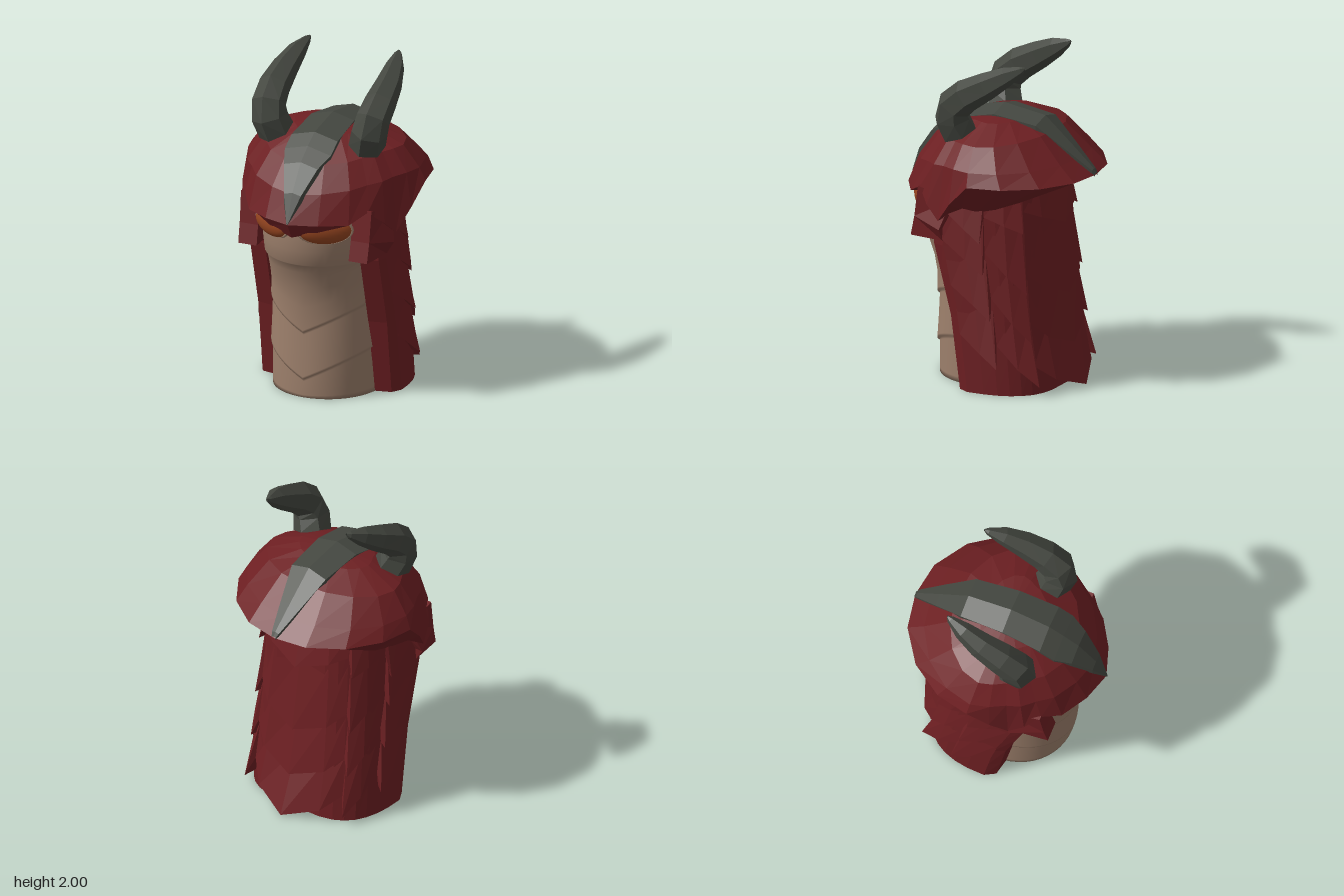
import * as THREE from 'three';

const D = THREE.DoubleSide;
const red = new THREE.MeshStandardMaterial({ name: 'red armour', color: 0x6d1f22, flatShading: true, side: D });
const grey = new THREE.MeshStandardMaterial({ name: 'dark horn', color: 0x444740, flatShading: true, side: D });
const tan = new THREE.MeshStandardMaterial({ name: 'tan skin', color: 0x9c7f6b, side: D });
const orange = new THREE.MeshStandardMaterial({ name: 'orange eye', color: 0x964520 });

const lerp = THREE.MathUtils.lerp;
const mirrorX = (half) => half.concat(half.slice(1, -1).reverse().map(([x, y, z]) => [-x, y, z]), [half[0]]);

// Skin over rows of points, lowest row first, running front > +x > back > -x
function loft(rows) {
  const n = rows[0].length, index = [];
  for (let i = 0; i < rows.length - 1; i++)
    for (let j = 0; j < n - 1; j++) {
      const a = i * n + j, c = a + n;
      index.push(a, a + 1, c + 1, a, c + 1, c);
    }
  const g = new THREE.BufferGeometry();
  g.setAttribute('position', new THREE.Float32BufferAttribute(rows.flat(2), 3));
  g.setIndex(index);
  g.computeVertexNormals();
  return g;
}

function add(parent, name, geometry, material) {
  const m = new THREE.Mesh(geometry, material);
  m.name = name;
  parent.add(m);
  return m;
}

// Tan body with closed base: [y, front z, half width, back z, chevron amount]
function bodyGeometry() {
  const rows = [
    [0, .008, 0, .008, 0], [0, .385, .33, -.37, 0], [.015, .386, .33, -.37, .1],
    [.1, .385, .33, -.37, 1], [.114, .384, .33, -.37, 1], [.117, .4, .337, -.37, 1], [.13, .4, .337, -.37, 1],
    [.25, .392, .333, -.37, 1], [.39, .385, .33, -.37, 1], [.404, .384, .33, -.37, 1], [.407, .4, .337, -.37, 1],
    [.42, .4, .337, -.37, 1], [.56, .4, .333, -.36, .6], [.7, .42, .33, -.35, .1], [.8, .455, .33, -.34, 0],
    [.85, .475, .333, -.34, 0], [.862, .495, .34, -.34, 0], [.95, .508, .345, -.33, 0],
    [1.05, .515, .35, -.32, 0], [1.15, .5, .35, -.32, 0], [1.26, .42, .32, -.28, 0],
  ];
  return loft(rows.map(([y, zf, hx, zb, k]) => {
    const ring = [];
    for (let i = 0; i <= 48; i++) {
      const t = -Math.PI + (i / 48) * 2 * Math.PI, c = Math.cos(t);
      const x = hx * Math.sin(t), zc = (zf + zb) / 2;
      ring.push([x, y + k * .52 * Math.abs(x), zc + (zf - zb) / 2 * Math.sign(c) * Math.abs(c) ** .88]);
    }
    return ring;
  }));
}

// Cape surface: s = 0 at the side, 1 at the middle of the back
const capeFront = (y) => (y < .45 ? lerp(.1, .16, y / .45) : lerp(.16, .27, Math.min(1, (y - .45) / .42)));

function capePoint(y, s) {
  const zb = lerp(-.42, -.34, y / 1.2), a = s * Math.PI / 2, z0 = capeFront(y) - .09;
  const c = Math.max(0, Math.cos(a));
  return [lerp(.455, .43, y / 1.2) * c ** .55, y, z0 - (z0 - zb) * Math.sin(a) ** .85];
}

function capeGeometry() {
  return loft([0, .2, .45, .7, .87, 1.28].map((y) => {
    const half = [[.31, y, capeFront(y)], [.42, y, capeFront(y) - .025]];
    for (let i = 0; i <= 8; i++) half.push(capePoint(y, i / 8));
    return half.concat(half.slice(0, -1).reverse().map(([x, yy, z]) => [-x, yy, z]));
  }));
}

// One tier of overlapping plates; each plate slopes down to a flared tip
function tierGeometry(ySide, yBack, height, flare) {
  // [position s, share of back height, rise above the tip, flare]
  const edge = [[0, 0, .18, .2], [.13, 0, .08, .6], [.25, 0, 0, 1], [.28, .1, .15, .15], [.45, .5, .08, .5],
    [.62, .75, .02, .9], [.65, .8, .14, .15], [.84, 1, .08, .55], [1, 1, 0, 1]];
  const low = [], top = [], tuck = [];
  const place = (sign, [s, mix, rise, k]) => {
    const tip = lerp(ySide, yBack, mix), y = tip + rise;
    const [x, , z] = capePoint(y, s);
    low.push([sign * x * (1 + .1 * k), y, z - flare * k * s]);
    tuck.push([sign * x * .97, y + .025, z + .02 * s]);
    const [tx, ty, tz] = capePoint(Math.min(1.25, tip + height), s);
    top.push([sign * tx * .99, ty, tz]);
  };
  edge.forEach((e) => place(1, e));
  edge.slice(0, -1).reverse().forEach((e) => place(-1, e));
  return loft([tuck, low, top]);
}

// Helmet: inner lip, rim, then shrinking dome rings
function helmetGeometry() {
  const inner = [[0, 1.045, .545], [.16, 1.092, .515], [.315, 1.138, .43], [.38, 1.18, .3], [.4, 1.12, .22],
    [.43, 1.06, .15], [.43, 1.11, .06], [.42, 1.1, -.03], [.4, 1.13, -.15], [.33, 1.17, -.27], [.18, 1.2, -.33],
    [0, 1.25, -.325]];
  const rim = [[0, 1.14, .6], [.17, 1.14, .545], [.325, 1.14, .45], [.4, 1.2, .35], [.47, 1.12, .27], [.5, 1.04, .18],
    [.55, 1.17, .08], [.58, 1.3, -.05], [.535, 1.3, -.25], [.405, 1.3, -.44], [.21, 1.3, -.57], [0, 1.3, -.605]];
  // [x scale, front z, back z, side y, front y, back y]
  const rings = [[.94, .53, .5, 1.38, 1.3, 1.39], [.77, .42, .34, 1.51, 1.45, 1.54],
    [.42, .24, .17, 1.595, 1.57, 1.6], [0, 0, 0, 1.63, 1.63, 1.63]];
  const dome = rings.map(([s, zf, zb, ys, yf, yb]) => rim.map(([x, , z]) => {
    const c = z / .605;
    return [x * s, lerp(ys, c > 0 ? yf : yb, c * c), c * (c > 0 ? zf : zb)];
  }));
  return loft([inner, rim, ...dome].map(mirrorX));
}

// Crest band over the helmet: [z, ridge y, half width]
function crestGeometry() {
  const path = [[.607, 1.145, .003], [.535, 1.32, .055], [.425, 1.475, .11], [.33, 1.545, .15], [.24, 1.605, .15],
    [0, 1.655, .14], [-.27, 1.615, .125], [-.45, 1.46, .07], [-.59, 1.335, .025], [-.605, 1.31, .015]];
  return loft(path.map(([z, y, w]) => {
    const edge = y - .25 * w, skirt = edge - Math.min(.05, w);
    return [[-w, skirt, z], [-w, edge, z], [0, y, z], [w, edge, z], [w, skirt, z]];
  }));
}

// Curved tapering horn: [x, y, z, radius]
function hornGeometry() {
  const path = [[.295, 1.535, .145, .115], [.325, 1.625, .175, .112], [.34, 1.71, .155, .105], [.345, 1.785, .07, .098],
    [.338, 1.86, -.06, .082], [.318, 1.93, -.18, .058], [.296, 1.975, -.265, .024], [.29, 1.988, -.285, .006]];
  const p = path.map((q) => new THREE.Vector3(q[0], q[1], q[2]));
  return loft(p.map((c, i) => {
    const t = p[Math.min(i + 1, p.length - 1)].clone().sub(p[Math.max(i - 1, 0)]).normalize();
    const v = new THREE.Vector3(1, 0, 0).cross(t).normalize(), u = t.clone().cross(v);
    const ring = [];
    for (let k = 0; k <= 6; k++) {
      const a = (k / 6) * Math.PI * 2;
      ring.push(c.clone().addScaledVector(u, path[i][3] * .95 * Math.sin(a))
        .addScaledVector(v, path[i][3] * Math.cos(a)).toArray());
    }
    return ring;
  }));
}

// Cheek guard: side outline (z, y), given thickness, bent inward at the front, with a flared rear spike
function cheekGeometry() {
  const outline = [[.35, 1.21], [.12, 1.16], [.14, 1.06], [.18, .98], [.18, .9], [.4, .9], [.375, 1.02]];
  const g = new THREE.ExtrudeGeometry(new THREE.Shape(outline.map(([z, y]) => new THREE.Vector2(-z, y))),
    { depth: .12, bevelEnabled: false });
  g.rotateY(Math.PI / 2);
  const pos = g.attributes.position;
  for (let i = 0; i < pos.count; i++) {
    const z = pos.getZ(i), y = pos.getY(i);
    const bend = Math.max(0, z - .2) * .1, spike = y > .95 && y < 1 ? .05 : 0;
    pos.setX(i, pos.getX(i) + .32 - bend + spike);
  }
  g.computeVertexNormals();
  return g;
}

export function createModel() {
  const model = new THREE.Group();
  model.name = 'hornedSerpent';

  add(model, 'body', bodyGeometry(), tan);
  add(model, 'cape', capeGeometry(), red);
  [[.92, .98, .28, .05], [.73, .55, .46, .045], [.46, .25, .4, .06], [.17, 0, .38, .12]]
    .forEach((t, i) => add(model, 'scaleTier' + (i + 1), tierGeometry(...t), red));

  add(model, 'helmet', helmetGeometry(), red);
  add(model, 'crest', crestGeometry(), grey);

  const horn = hornGeometry(), cheek = cheekGeometry();
  const ball = new THREE.SphereGeometry(1, 24, 16), ring = new THREE.TorusGeometry(1, .07, 8, 28);
  for (const [side, s] of [['left', 1], ['right', -1]]) {
    const half = new THREE.Group();
    half.name = side + 'Side';
    half.scale.x = s;
    add(half, side + 'Horn', horn, grey);
    add(half, side + 'CheekGuard', cheek, red);
    // Eye with a soft lid around it
    const eye = add(half, side + 'Eye', ball, orange);
    eye.scale.set(.157, .08, .05);
    const lid = add(half, side + 'Eyelid', ring, tan);
    lid.scale.set(.158, .081, .14);
    for (const m of [eye, lid]) {
      m.position.set(.172, 1.083, .45);
      m.rotation.y = .52;
    }
    model.add(half);
  }
  return model;
}
